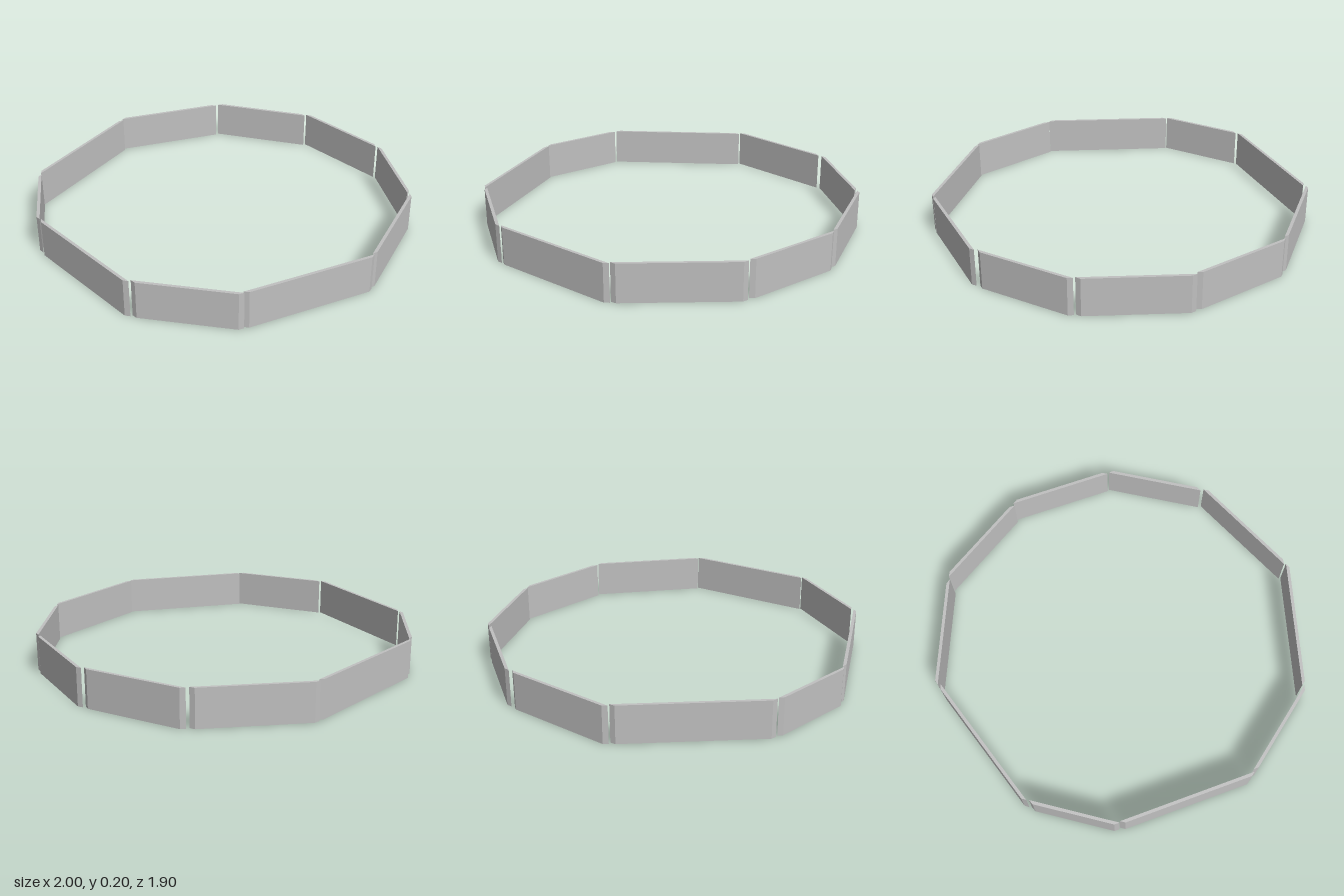
import * as THREE from 'three';

const HEIGHT = 0.2, THICKNESS = 0.016, BEVEL = 0.023;

// Inner-face endpoints of each wall panel: x1, z1, x2, z2
const PANELS = [
  [-0.30, -0.935, 0.255, -0.935],
  [0.265, -0.94, 0.712, -0.66],
  [0.73, -0.66, 0.977, -0.085],
  [0.988, -0.085, 0.797, 0.585],
  [0.807, 0.588, 0.39, 0.912],
  [0.39, 0.925, -0.335, 0.931],
  [-0.34, 0.937, -0.73, 0.678],
  [-0.742, 0.674, -0.977, -0.055],
  [-0.992, -0.058, -0.765, -0.61],
  [-0.765, -0.628, -0.30, -0.92],
];

// Thin upright board whose ends are bevelled towards the outside
function makePanel([x1, z1, x2, z2], material) {
  const a = new THREE.Vector2(x1, -z1), b = new THREE.Vector2(x2, -z2);
  const along = b.clone().sub(a).normalize();
  const out = new THREE.Vector2(-along.y, along.x);
  if (out.dot(a.clone().add(b)) < 0) out.negate();
  const outerA = a.clone().addScaledVector(out, THICKNESS).addScaledVector(along, BEVEL);
  const outerB = b.clone().addScaledVector(out, THICKNESS).addScaledVector(along, -BEVEL);
  const geometry = new THREE.ExtrudeGeometry(new THREE.Shape([a, b, outerB, outerA]), {
    depth: HEIGHT,
    bevelEnabled: false,
  });
  geometry.rotateX(-Math.PI / 2);
  return new THREE.Mesh(geometry, material);
}

export function createModel() {
  const group = new THREE.Group();
  group.name = 'panelRing';
  const grey = new THREE.MeshStandardMaterial({ color: 0xc0c0c0 });
  grey.name = 'light grey';
  PANELS.forEach((ends, i) => {
    const panel = makePanel(ends, grey);
    panel.name = `wallPanel${i + 1}`;
    group.add(panel);
  });
  return group;
}
